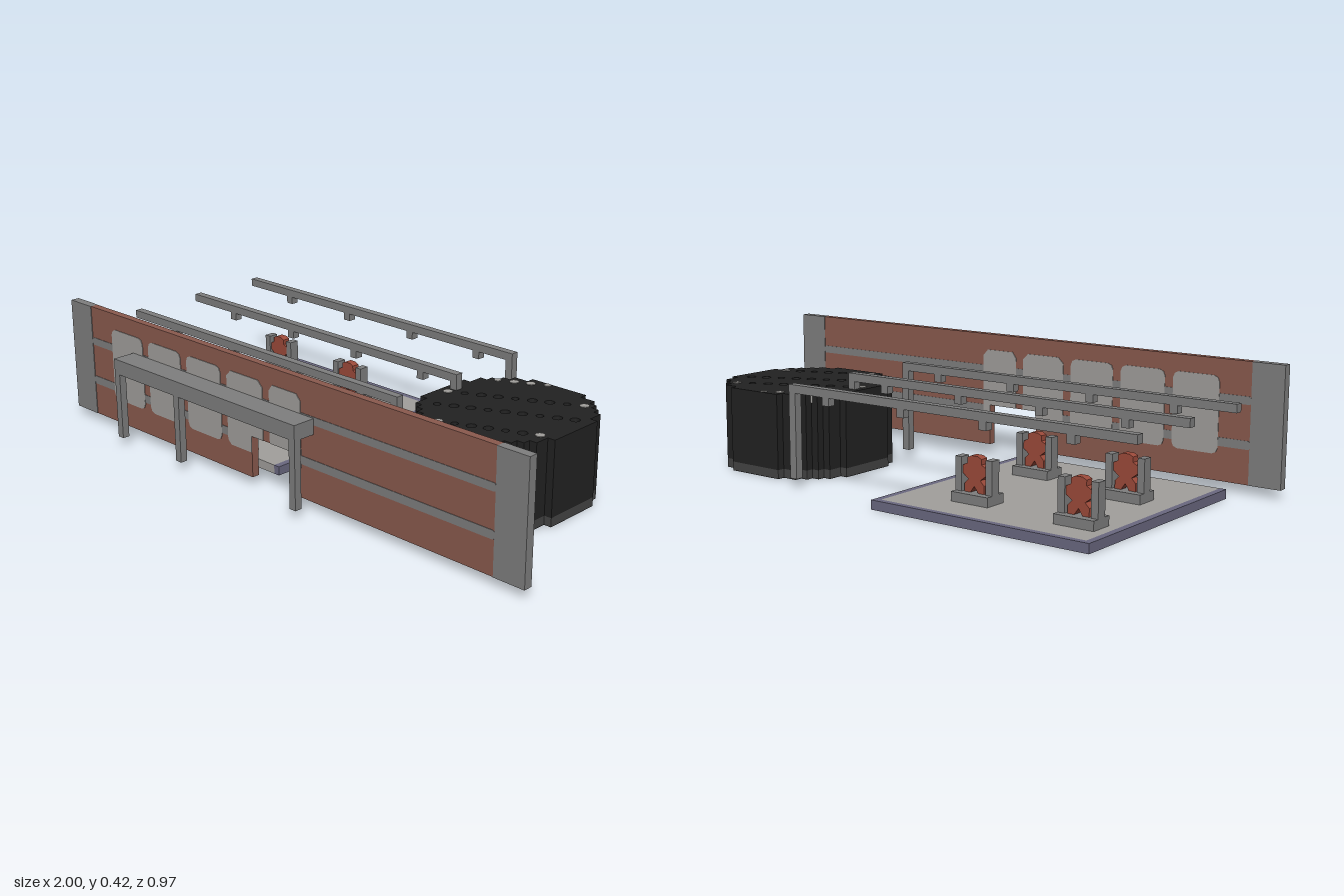
import * as THREE from 'three';

function mat(name, color) {
  const m = new THREE.MeshStandardMaterial({ color });
  m.name = name;
  return m;
}

export function createModel() {
  const root = new THREE.Group();
  const brick = mat('brick', 0x8a5a4e);
  const steel = mat('steel grey', 0x7f7f7f);
  const pale = mat('pale grey', 0xa19f9c);
  const slate = mat('slate purple', 0x6a6880);
  const black = mat('black', 0x222222);
  const charcoal = mat('charcoal', 0x444444);
  const red = mat('rust red', 0x9c4a3a);

  function add(parent, name, geo, material) {
    const m = new THREE.Mesh(geo, material);
    m.name = name;
    parent.add(m);
    return m;
  }
  // Box given by its lower and upper limits
  function box(parent, name, material, x0, x1, y0, y1, z0, z1) {
    const m = add(parent, name, new THREE.BoxGeometry(x1 - x0, y1 - y0, z1 - z0), material);
    m.position.set((x0 + x1) / 2, (y0 + y1) / 2, (z0 + z1) / 2);
    return m;
  }
  const poly = pts => new THREE.Shape(pts.map(p => new THREE.Vector2(p[0], p[1])));
  const extrude = (shape, depth) =>
    new THREE.ExtrudeGeometry(shape, { depth, bevelEnabled: false, curveSegments: 8 });
  function plate(parent, name, material, pts, z, depth) {
    add(parent, name, extrude(poly(pts), depth), material).position.z = z;
  }
  const rounded = (x0, x1, y0, y1, c) => [
    [x0 + c, y0], [x1 - c, y0], [x1 - c * 0.3, y0 + c * 0.3], [x1, y0 + c],
    [x1, y1 - c], [x1 - c * 0.3, y1 - c * 0.3], [x1 - c, y1],
    [x0 + c, y1], [x0 + c * 0.3, y1 - c * 0.3], [x0, y1 - c],
    [x0, y0 + c], [x0 + c * 0.3, y0 + c * 0.3]];

  // Front wall with a doorway
  const wall = new THREE.Group();
  wall.name = 'frontWall';
  root.add(wall);
  plate(wall, 'wallPanel', brick, [[-0.89, 0.03], [-0.085, 0.03], [-0.085, 0.17], [0.11, 0.17],
    [0.11, 0.03], [0.89, 0.03], [0.89, 0.42], [-0.89, 0.42]], 0.377, 0.026);
  for (const s of [-1, 1])
    box(wall, 'wallEnd', steel, Math.min(s, s * 0.89), Math.max(s, s * 0.89), 0.03, 0.42, 0.375, 0.405);

  // Bands and windows on both faces of the wall
  const windows = [
    rounded(-0.78, -0.615, 0.115, 0.365, 0.02),
    rounded(-0.585, -0.42, 0.115, 0.365, 0.02),
    rounded(-0.39, -0.225, 0.115, 0.365, 0.02),
    [[-0.18, 0.115], [-0.085, 0.115], [-0.085, 0.17], [-0.03, 0.17], [-0.03, 0.345],
      [-0.05, 0.365], [-0.175, 0.365], [-0.195, 0.345], [-0.195, 0.13]],
    [[0, 0.17], [0.11, 0.17], [0.11, 0.115], [0.125, 0.115], [0.138, 0.13], [0.138, 0.345],
      [0.12, 0.365], [0.015, 0.365], [0, 0.345]]];
  for (const side of [0, 1]) {
    const zb = side ? 0.402 : 0.3755, zw = side ? 0.402 : 0.375;
    const bands = [[-0.89, 0.89, 0.284, 0.31], [-0.89, -0.085, 0.142, 0.17], [0.11, 0.89, 0.142, 0.17]];
    for (const b of bands) plate(wall, 'wallBand', steel, rounded(...b, 0.006), zb, 0.0025);
    for (const w of windows) plate(wall, 'window', pale, w, zw, 0.003);
  }

  // Canopy in front of the wall
  const canopy = new THREE.Group();
  canopy.name = 'canopy';
  root.add(canopy);
  box(canopy, 'canopyRoof', steel, -0.665, 0.195, 0.255, 0.306, 0.405, 0.485);
  for (const x of [-0.665, -0.363, 0.17])
    box(canopy, 'canopyPost', steel, x, x + 0.025, 0.03, 0.256, 0.46, 0.485);

  // Overhead rails with hangers and an end post each
  for (const z of [-0.417, -0.137, 0.14]) {
    const rail = new THREE.Group();
    rail.name = 'overheadRail';
    root.add(rail);
    box(rail, 'railBeam', steel, -0.97, 0.3, 0.306, 0.333, z - 0.0135, z + 0.0135);
    box(rail, 'railPost', steel, 0.273, 0.3, 0.03, 0.307, z - 0.0135, z + 0.0135);
    for (const x of [-0.76, -0.46, -0.155, 0.145])
      box(rail, 'railHanger', steel, x - 0.0135, x + 0.0135, 0.28, 0.307, z - 0.0135, z + 0.0135);
  }

  // Floor platform, edged on three sides
  box(root, 'platformFloor', pale, -0.838, -0.108, 0, 0.03, -0.464, 0.29);
  box(root, 'platformEdge', slate, -0.86, -0.838, 0, 0.03, -0.485, 0.29);
  box(root, 'platformEdge', slate, -0.108, -0.086, 0, 0.03, -0.485, 0.29);
  box(root, 'platformEdge', slate, -0.838, -0.108, 0, 0.03, -0.485, -0.464);

  // Work stands: base, two uprights and a red piece between them
  const half = [[0.014, 0.06], [0.036, 0.06], [0.036, 0.085], [0.022, 0.1], [0.042, 0.115],
    [0.042, 0.14], [0.026, 0.148], [0.026, 0.165], [0.012, 0.172]];
  const piece = [...half, ...half.map(p => [-p[0], p[1]]).reverse(), [0, 0.08]];
  for (const [x, z] of [[-0.737, -0.337], [-0.35, -0.308], [-0.684, -0.003], [-0.294, 0.083]]) {
    const stand = new THREE.Group();
    stand.name = 'workStand';
    stand.position.set(x, 0, z);
    root.add(stand);
    box(stand, 'standBase', steel, -0.068, 0.068, 0.03, 0.06, -0.04, 0.04);
    for (const s of [-1, 1])
      box(stand, 'standUpright', steel, s * 0.056 - 0.012, s * 0.056 + 0.012, 0.06, 0.165, -0.018, 0.018);
    plate(stand, 'redPiece', red, piece, -0.014, 0.028);
  }

  // Stepped round drum
  const cell = 0.0262, right = [];
  for (let r = -10; r < 10; r++) {
    const w = Math.floor(Math.sqrt(105 - (r + 0.5) ** 2) + 0.5) * cell;
    right.push([w, r * cell], [w, (r + 1) * cell]);
  }
  const outline = [...right, ...right.map(p => [-p[0], p[1]]).reverse()];
  const drum = new THREE.Group();
  drum.name = 'drum';
  drum.position.set(0.514, 0, -0.113);
  root.add(drum);
  function layer(name, material, shape, y0, y1) {
    const g = extrude(shape, y1 - y0);
    g.rotateX(-Math.PI / 2);
    add(drum, name, g, material).position.y = y0;
  }
  layer('drumBottom', black, poly(outline), 0, 0.002);
  layer('drumFoot', charcoal, poly(outline), 0.002, 0.03);
  layer('drumBody', black, poly(outline), 0.03, 0.252);

  // Slanting rows of sockets sunk into the drum top
  const top = poly(outline);
  for (const [z0, slope, i0, i1] of [[-0.265, 0.5, 0, 4], [-0.1, 0.5, 0, 8], [0.03, 0.48, 0, 10], [0.175, 0.42, 3, 10]]) {
    for (let i = i0; i <= i1; i++) {
      const dx = 0.285 + i * 0.0485 - 0.514;
      const dz = z0 - slope * i * 0.0485 + 0.113;
      const dist = Math.hypot(dx, dz);
      if (dist > 0.265) continue;
      const r = i % 3 === 1 ? 0.012 : 0.016;
      const sunk = dist < 0.225;
      if (sunk) {
        const hole = new THREE.Path();
        hole.absarc(dx, -dz, r, 0, Math.PI * 2, true);
        top.holes.push(hole);
      }
      const h = sunk ? 0.005 : 0.031;
      add(drum, 'drumSocket', new THREE.CylinderGeometry(r, r, h, 8), pale)
        .position.set(dx, 0.251 + h / 2, dz);
    }
  }
  layer('drumTop', black, top, 0.252, 0.28);

  return root;
}
